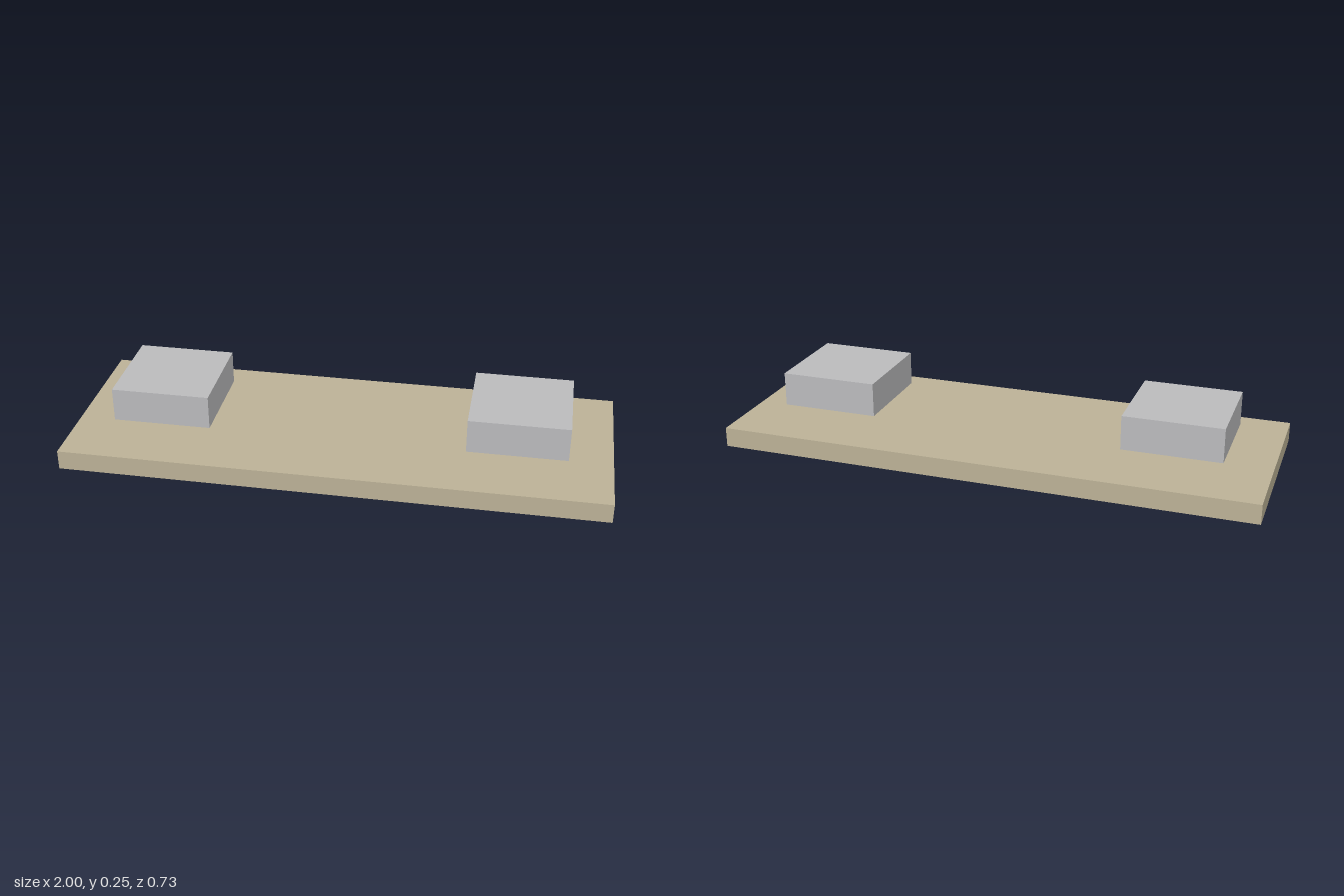
import * as THREE from 'three';

export function createModel() {
  const model = new THREE.Group();
  const tan = new THREE.MeshStandardMaterial({ color: 0xbbb196 });
  tan.name = 'tan';
  const grey = new THREE.MeshStandardMaterial({ color: 0xbababc });
  grey.name = 'light grey';

  // Box standing on height y
  const addBox = (name, material, w, h, d, x, y) => {
    const mesh = new THREE.Mesh(new THREE.BoxGeometry(w, h, d), material);
    mesh.name = name;
    mesh.position.set(x, y + h / 2, 0);
    model.add(mesh);
  };

  // Flat base slab
  addBox('baseSlab', tan, 2, 0.073, 0.727, 0, 0);

  // Pair of blocks floating above the slab, one near each end
  for (const [name, side] of [['leftBlock', 1], ['rightBlock', -1]]) {
    addBox(name, grey, 0.364, 0.127, 0.364, side * 0.655, 0.12);
  }
  return model;
}
